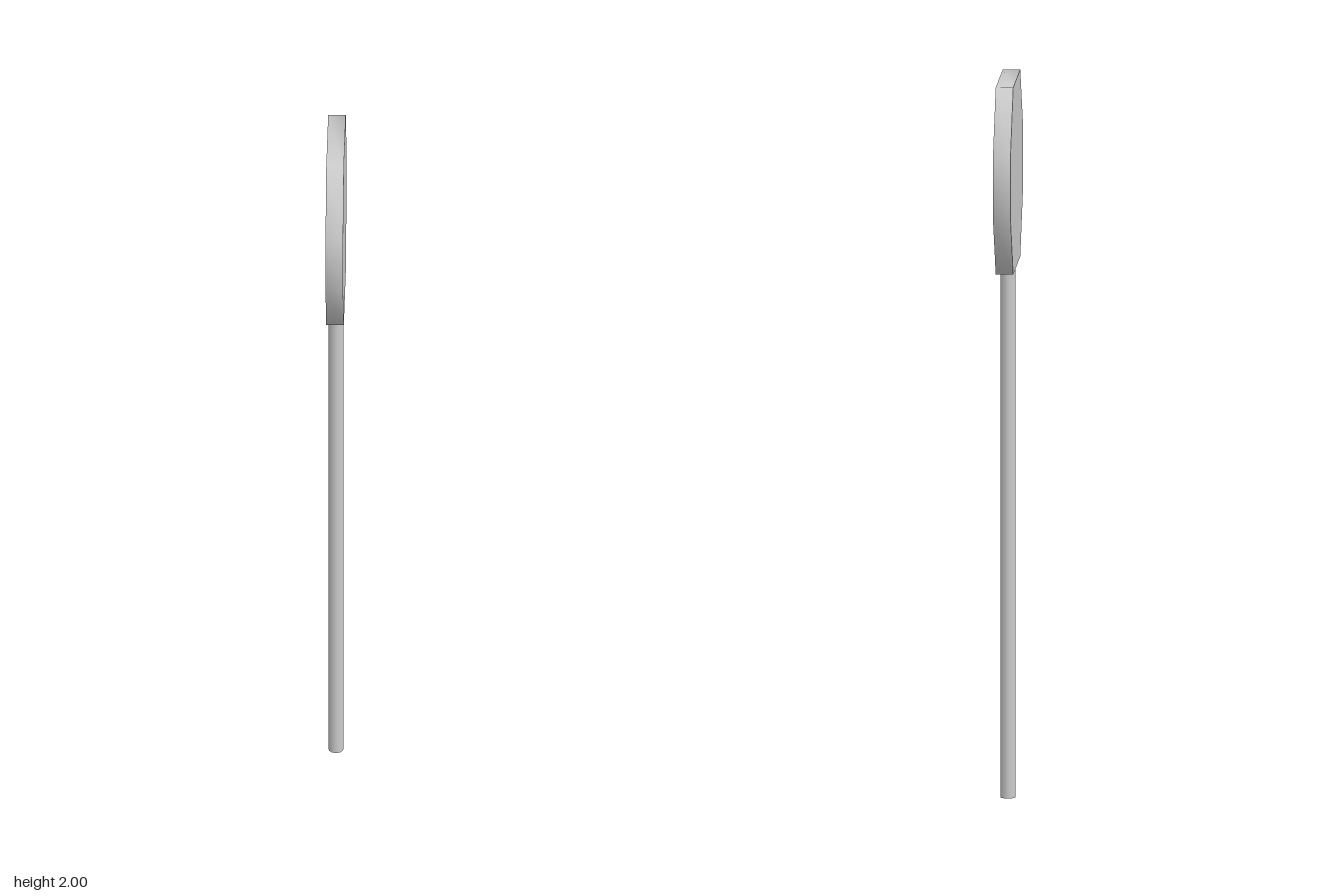
import * as THREE from 'three';
import { mergeVertices } from 'three/addons/utils/BufferGeometryUtils.js';

// Eight-sided plate facing +x and -x, with a smooth-shaded rim
function octagonPlate(thickness) {
  let geo = new THREE.CylinderGeometry(1, 1, thickness, 8, 1, false, Math.PI / 8);
  geo.rotateZ(Math.PI / 2);
  geo.deleteAttribute('uv');
  geo = mergeVertices(geo); // close the rim seam
  const p = geo.attributes.position;
  for (let i = 0; i < p.count; i++) {
    const y = p.getY(i), z = p.getZ(i);
    if (Math.hypot(y, z) < 0.5) continue; // cap centre
    const upper = Math.abs(y) > 0.7;
    p.setY(i, Math.sign(y) * (upper ? 0.26 : 0.086));
    p.setZ(i, Math.sign(z) * (upper ? 0.127 : 0.226));
  }
  geo.computeVertexNormals();
  return geo;
}

export function createModel() {
  const group = new THREE.Group();
  const material = new THREE.MeshStandardMaterial({ color: 0xcccccc });

  // Post
  const postHeight = 1.48;
  const post = new THREE.Mesh(new THREE.CylinderGeometry(0.021, 0.021, postHeight, 12), material);
  post.name = 'post';
  post.position.y = postHeight / 2;

  // Sign plate on top of the post
  const plate = new THREE.Mesh(octagonPlate(0.048), material);
  plate.name = 'signPlate';
  plate.position.y = 1.74;

  group.add(post, plate);
  return group;
}
